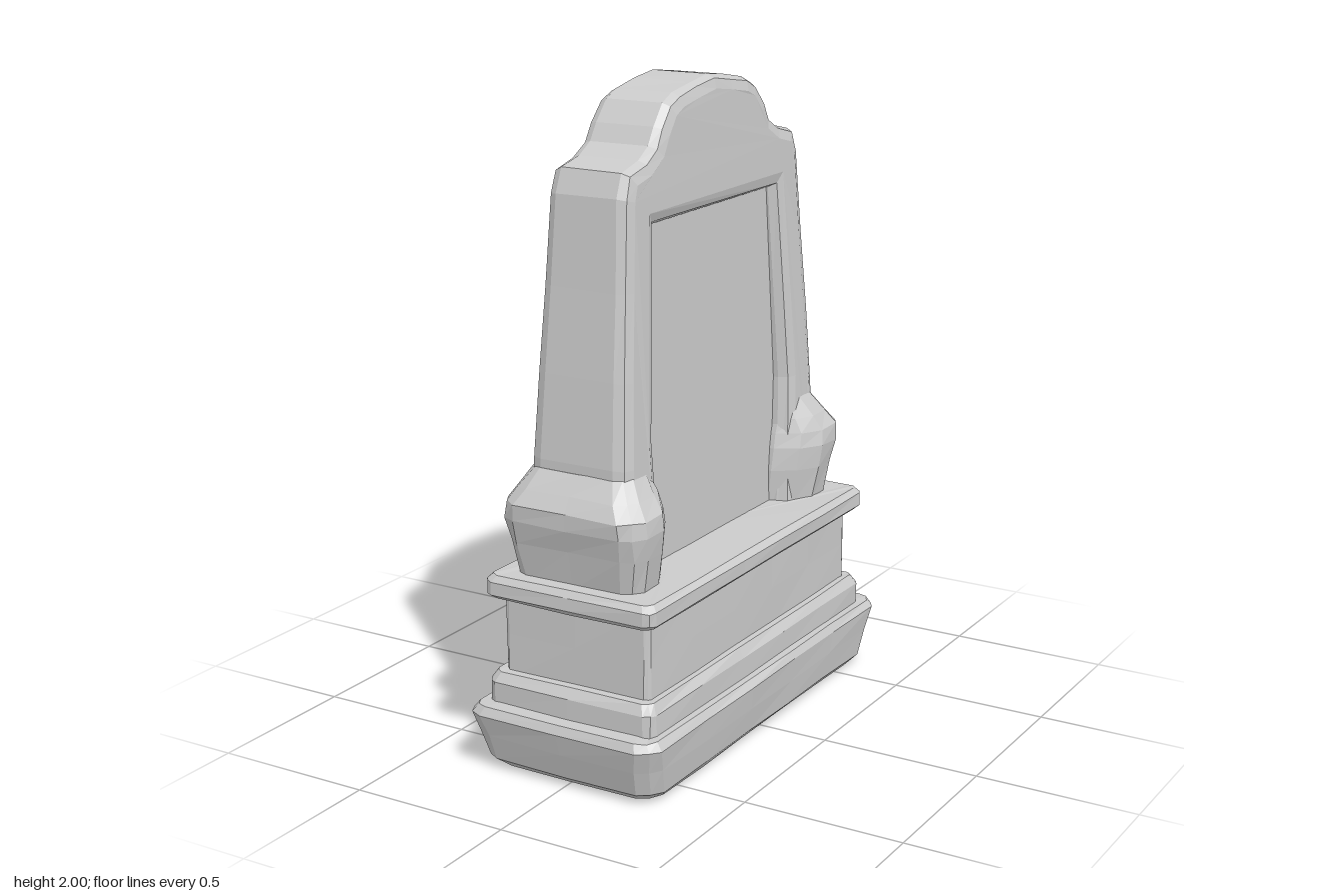
import * as THREE from 'three';

const STONE = new THREE.MeshStandardMaterial({ color: 0xcccccc, flatShading: true });
const CX = -0.014; // the upright slab sits slightly off centre

// Position-based wobble, so coincident vertices move together
function hash(x, y, z, k) {
  const s = Math.sin(Math.round(x * 500) * 12.9898 + Math.round(y * 500) * 78.233 + Math.round(z * 500) * 37.719 + k * 4.17) * 43758.5453;
  return (s - Math.floor(s)) * 2 - 1;
}
function weather(geo, amount) {
  const p = geo.attributes.position;
  for (let i = 0; i < p.count; i++) {
    const x = p.getX(i), y = p.getY(i), z = p.getZ(i);
    const dy = y < 0.01 ? 0 : hash(x, y, z, 2) * amount;
    p.setXYZ(i, x + hash(x, y, z, 1) * amount, y + dy, z + hash(x, y, z, 3) * amount);
  }
  geo.computeVertexNormals();
  return geo;
}

function addMesh(parent, name, geo) {
  const mesh = new THREE.Mesh(geo, STONE);
  mesh.name = name;
  parent.add(mesh);
  return mesh;
}

// Rectangle with worn corners, counter-clockwise from above, long sides split in n.
// a and b are the corner sizes at zMin and zMax.
function ring([y, hx, zMin, zMax, a, b], n) {
  const pts = [];
  const side = (x0, z0, x1, z1, k) => {
    for (let i = 0; i <= k; i++) pts.push([x0 + (x1 - x0) * i / k, y, z0 + (z1 - z0) * i / k]);
  };
  const corner = (x, z) => pts.push([x, y, z]);
  const ka = 0.36 * a, kb = 0.36 * b;
  side(-hx + b, zMax, hx - b, zMax, 2);
  corner(hx - kb, zMax - kb);
  side(hx, zMax - b, hx, zMin + a, n);
  corner(hx - ka, zMin + ka);
  side(hx - a, zMin, -hx + a, zMin, 2);
  corner(-hx + ka, zMin + ka);
  side(-hx, zMin + a, -hx, zMax - b, n);
  corner(-hx + kb, zMax - kb);
  return pts;
}

// Closed loft through rings of [y, halfX, zMin, zMax, cornerMin, cornerMax]
function loft(sections, n) {
  const rings = sections.map(s => ring(s, n));
  const m = rings[0].length, pos = [], index = [];
  rings.forEach(r => r.forEach(p => pos.push(...p)));
  for (let r = 0; r < rings.length - 1; r++) {
    for (let i = 0; i < m; i++) {
      const a = r * m + i, b = r * m + (i + 1) % m;
      index.push(a, b, b + m, a, b + m, a + m);
    }
  }
  const last = (rings.length - 1) * m, c = rings.length * m;
  for (const s of [sections[0], sections[sections.length - 1]]) pos.push(0, s[0], (s[2] + s[3]) / 2);
  for (let i = 0; i < m; i++) {
    const j = (i + 1) % m;
    index.push(c, j, i, c + 1, last + i, last + j);
  }
  const geo = new THREE.BufferGeometry();
  geo.setAttribute('position', new THREE.Float32BufferAttribute(pos, 3));
  geo.setIndex(index);
  return geo;
}
const tier = rows => loft(rows.map(([y, hx, hz, c]) => [y, hx, -hz, hz, c, c]), 5);

// Extrude a side profile (z, y) across x, thinning by `taper` per unit of height
function sideExtrude(points, half, bevel, taper) {
  const shape = new THREE.Shape(points.map(p => new THREE.Vector2(p[0], p[1])));
  const geo = new THREE.ExtrudeGeometry(shape, {
    depth: 2 * (half - bevel), steps: 1, bevelEnabled: bevel > 0,
    bevelThickness: bevel, bevelSize: bevel, bevelOffset: -bevel, bevelSegments: 2,
  });
  geo.translate(0, 0, -(half - bevel));
  geo.rotateY(Math.PI / 2);
  const p = geo.attributes.position;
  for (let i = 0; i < p.count; i++) p.setX(i, p.getX(i) * (1 - taper * (p.getY(i) - 0.95)) + CX);
  geo.computeVertexNormals();
  return geo;
}
const mirrored = right => [...right, ...right.filter(p => p[0] > 0).reverse().map(([z, y]) => [-z, y])];

export function createModel() {
  const group = new THREE.Group();
  group.name = 'tombstone';

  // Stepped plinth
  const plinth = new THREE.Group();
  plinth.name = 'plinth';
  group.add(plinth);
  addMesh(plinth, 'baseSlab', weather(tier([
    [0, 0.275, 0.64, 0.06], [0.03, 0.302, 0.675, 0.06], [0.11, 0.312, 0.70, 0.06],
    [0.18, 0.323, 0.723, 0.055], [0.204, 0.308, 0.71, 0.05],
  ]), 0.003));
  addMesh(plinth, 'lowerStep', weather(tier([
    [0.19, 0.285, 0.66, 0.03], [0.268, 0.285, 0.66, 0.03], [0.297, 0.267, 0.642, 0.025],
  ]), 0.002));
  addMesh(plinth, 'pedestal', weather(tier([
    [0.27, 0.247, 0.613, 0.015], [0.41, 0.247, 0.613, 0.015], [0.56, 0.247, 0.613, 0.015],
  ]), 0.002));
  addMesh(plinth, 'ledge', weather(tier([
    [0.525, 0.272, 0.648, 0.025], [0.54, 0.288, 0.665, 0.03],
    [0.58, 0.288, 0.665, 0.03], [0.598, 0.272, 0.648, 0.025],
  ]), 0.002));

  // Arched frame, open at the bottom around the recessed panel
  const outer = [
    [0.575, 0.53], [0.575, 0.95], [0.555, 1.2], [0.53, 1.45], [0.508, 1.71], [0.482, 1.78],
    [0.39, 1.802], [0.335, 1.835], [0.305, 1.885], [0.255, 1.945], [0.2, 1.97], [0.1, 1.987], [0, 2.0],
  ];
  const inner = [[0.355, 1.615], [0.38, 1.3], [0.402, 1.0], [0.375, 0.53]];
  const outline = [...mirrored(outer), ...inner.slice().reverse().map(([z, y]) => [-z, y]), ...inner];
  addMesh(group, 'frame', weather(sideExtrude(outline, 0.165, 0.042, 0.24), 0.0015));

  // Recessed panel
  const panel = [[0.43, 0.57], [0.43, 1.0], [0.39, 1.66], [-0.39, 1.66], [-0.43, 1.0], [-0.43, 0.57]];
  addMesh(group, 'panel', sideExtrude(panel, 0.106, 0, 0.12));

  // Swelling feet at both ends of the slab, rounder on the inner side
  const foot = [
    [0.58, 0.208, 0.37, 0.60, 0.10, 0.05], [0.70, 0.23, 0.37, 0.622, 0.11, 0.055],
    [0.77, 0.24, 0.375, 0.643, 0.115, 0.06], [0.82, 0.236, 0.385, 0.643, 0.11, 0.06],
    [0.865, 0.205, 0.40, 0.617, 0.08, 0.055], [0.925, 0.163, 0.415, 0.575, 0.05, 0.04],
  ];
  for (const front of [true, false]) {
    const rows = foot.map(([y, hx, a, b, ca, cb]) => front ? [y, hx, a, b, ca, cb] : [y, hx, -b, -a, cb, ca]);
    addMesh(group, front ? 'frontFoot' : 'backFoot', weather(loft(rows, 1), 0.003)).position.x = CX;
  }
  return group;
}
